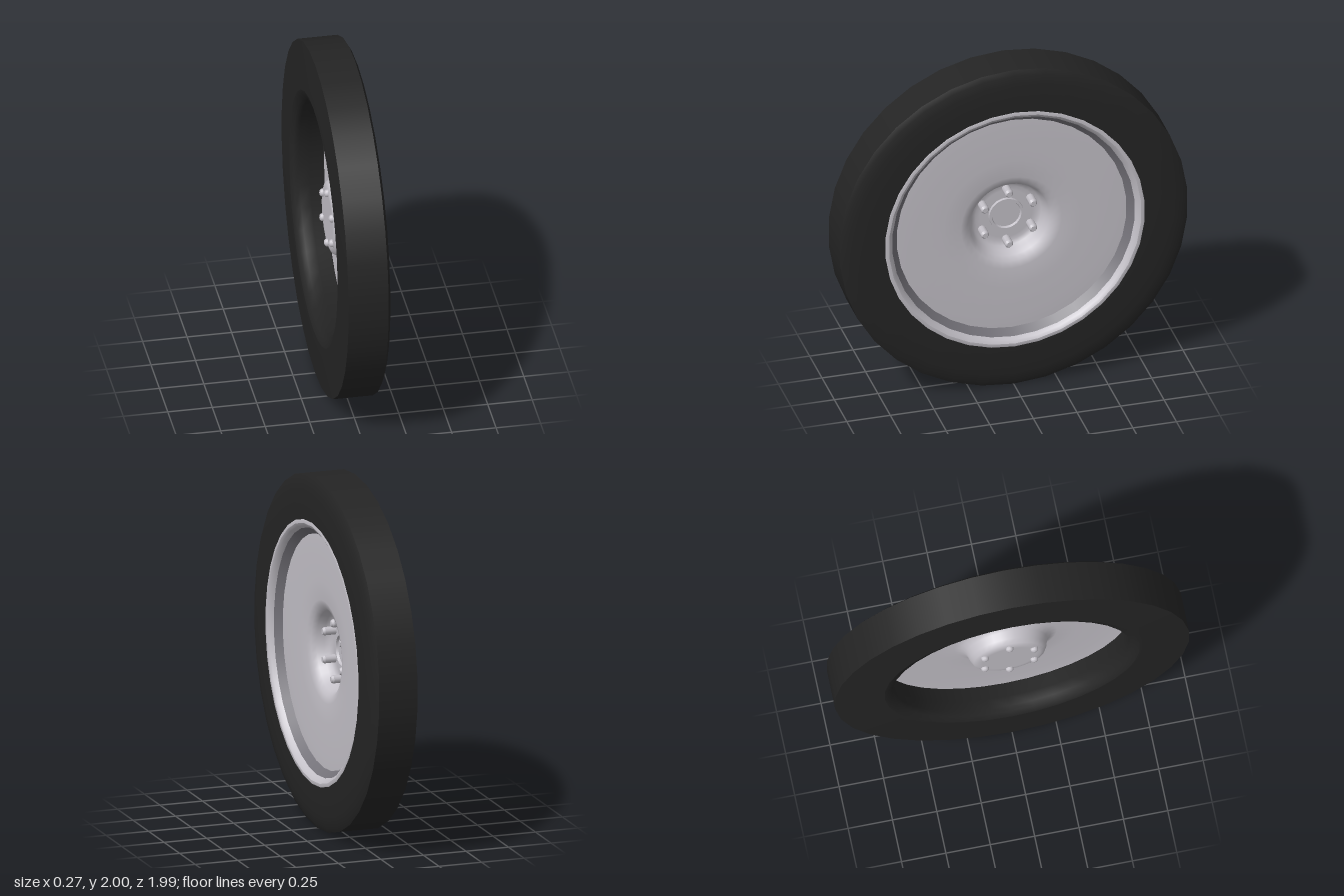
import * as THREE from 'three';

const paint = (name, color, side = THREE.FrontSide) => {
  const m = new THREE.MeshStandardMaterial({ color, side });
  m.name = name;
  return m;
};

export function createModel() {
  const wheel = new THREE.Group();
  wheel.name = 'wheel';
  const rubber = paint('black rubber', 0x242424, THREE.DoubleSide);
  const metal = paint('pale metal', 0xc2bfc6, THREE.DoubleSide);
  const shade = paint('dark metal', 0x747279, THREE.DoubleSide);

  // Spins [axial x, radius] pairs around the x axle; a repeated pair makes a sharp edge
  const spin = (name, profile, material, segments = 34) => {
    const points = profile.map(([x, r]) => new THREE.Vector2(r, x));
    const geo = new THREE.LatheGeometry(points, segments, Math.PI / 2);
    geo.rotateZ(-Math.PI / 2);
    const mesh = new THREE.Mesh(geo, material);
    mesh.name = name;
    mesh.position.y = 1;
    wheel.add(mesh);
    return mesh;
  };

  // Tyre: flat tread, rounded front shoulder, hollow back opening
  spin('tyre', [
    [0.05, 0.69], [-0.03, 0.675], [-0.09, 0.665], [-0.12, 0.675], [-0.135, 0.72],
    [-0.135, 0.72], [-0.135, 0.78], [-0.125, 1], [-0.125, 1],
    [0.1, 1], [0.1, 1], [0.115, 0.97], [0.124, 0.92], [0.129, 0.84], [0.13, 0.74],
  ], rubber);

  // Rim lip and the dark step down to the disc
  spin('rimLip', [
    [0.128, 0.748], [0.133, 0.742], [0.133, 0.725], [0.133, 0.725],
    [0.122, 0.708], [0.1, 0.697],
  ], metal);
  spin('rimStep', [[0.1, 0.697], [0.061, 0.66]], shade);

  // Disc with the hub cup pressed into it
  spin('disc', [
    [0.055, 0.695], [0.06, 0.6], [0.06, 0.4], [0.057, 0.29], [0.045, 0.25], [0.02, 0.228],
    [-0.02, 0.215], [-0.045, 0.2], [-0.055, 0.175], [-0.055, 0.15], [-0.055, 0.15], [-0.055, 0],
  ], metal);

  // Raised ring around the hub centre
  spin('hubRing', [
    [-0.055, 0.1], [-0.04, 0.098], [-0.04, 0.098], [-0.04, 0.085], [-0.04, 0.085], [-0.054, 0.08],
  ], metal);

  // Six studs, each with a collar in front and a rounded nut behind
  for (let i = 0; i < 6; i++) {
    const a = (i * Math.PI) / 3;
    const stud = new THREE.Group();
    stud.name = 'stud' + (i + 1);
    stud.position.set(0, 1 + 0.16 * Math.cos(a), 0.16 * Math.sin(a));
    const add = (name, profile) => {
      const mesh = spin(name, profile, metal, 10);
      mesh.position.y = 0;
      stud.add(mesh);
    };
    add('studShaft', [
      [-0.055, 0.024], [0.008, 0.024], [0.008, 0.024], [0.02, 0.015], [0.02, 0.015], [0.02, 0],
    ]);
    add('studNut', [[-0.076, 0], [-0.073, 0.013], [-0.066, 0.021], [-0.05, 0.023]]);
    wheel.add(stud);
  }
  return wheel;
}
